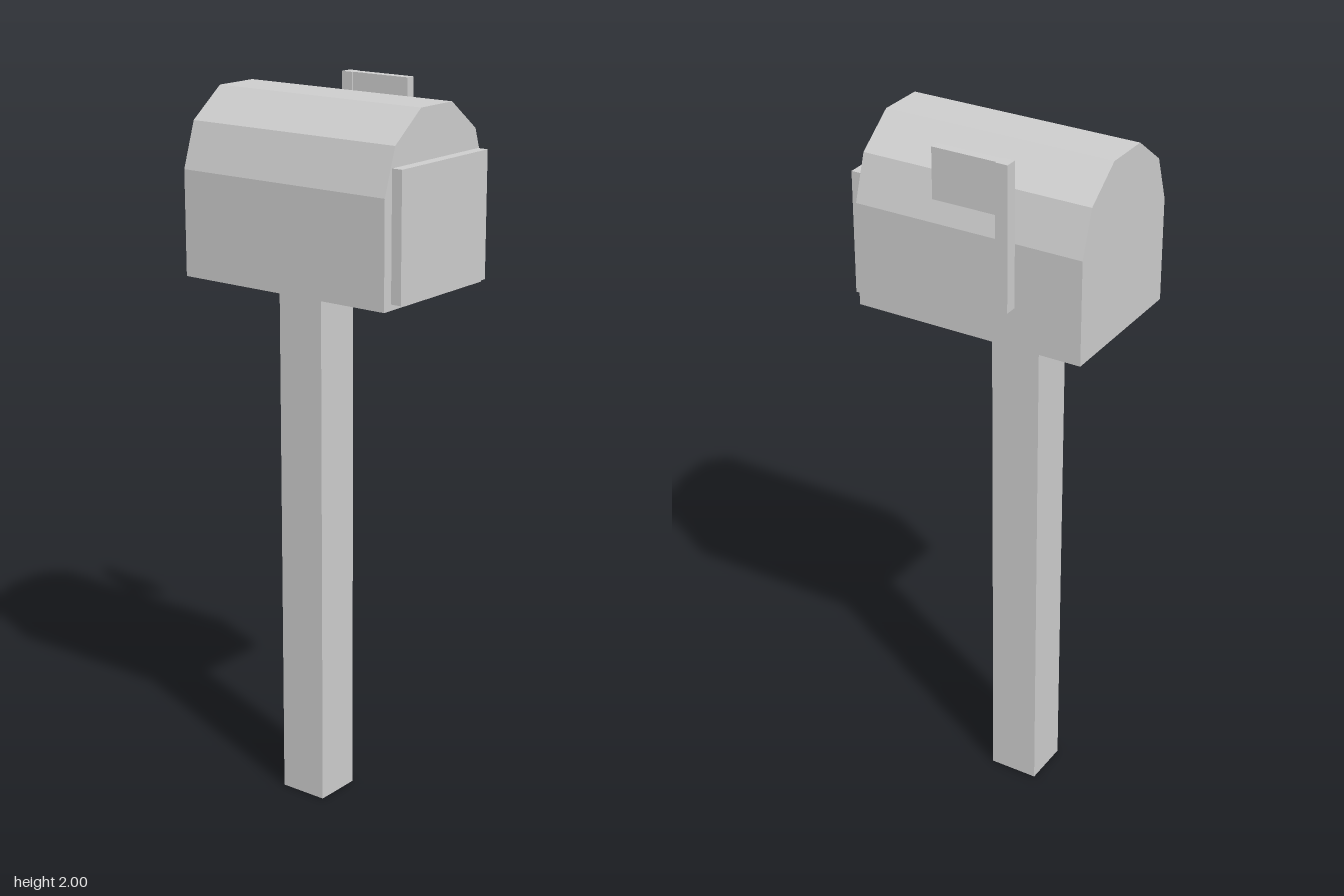
import * as THREE from 'three';

export function createModel() {
  const model = new THREE.Group();
  model.name = 'mailbox';
  const paint = new THREE.MeshStandardMaterial({ color: 0xcccccc });
  paint.name = 'light grey';

  const add = (name, geometry) => {
    const mesh = new THREE.Mesh(geometry, paint);
    mesh.name = name;
    model.add(mesh);
    return mesh;
  };

  // Box given by its two extents on each axis
  const box = (name, [x0, x1], [y0, y1], [z0, z1]) =>
    add(name, new THREE.BoxGeometry(x1 - x0, y1 - y0, z1 - z0))
      .position.set((x0 + x1) / 2, (y0 + y1) / 2, (z0 + z1) / 2);

  // Faceted arched body, mirrored half profile about its own centre line
  const half = [[0.213, 1.492], [0.213, 1.777], [0.172, 1.9], [0.066, 1.98]];
  const profile = [...half, ...half.map(([x, y]) => [-x, y]).reverse()];
  const shape = new THREE.Shape(profile.map(([x, y]) => new THREE.Vector2(x, y)));
  const body = new THREE.ExtrudeGeometry(shape, { depth: 0.652, bevelEnabled: false });
  add('body', body).position.set(-0.024, 0, -0.341);

  // Front door and supporting post
  box('door', [-0.208, 0.161], [1.508, 1.847], [0.311, 0.341]);
  box('post', [-0.095, 0.043], [0, 1.492], [-0.14, 0]);

  // Signal flag standing clear of the left side
  box('flagArm', [0.2, 0.235], [1.61, 2], [-0.16, -0.126]);
  box('flagPanel', [0.204, 0.231], [1.863, 2], [-0.126, 0.055]);

  return model;
}
